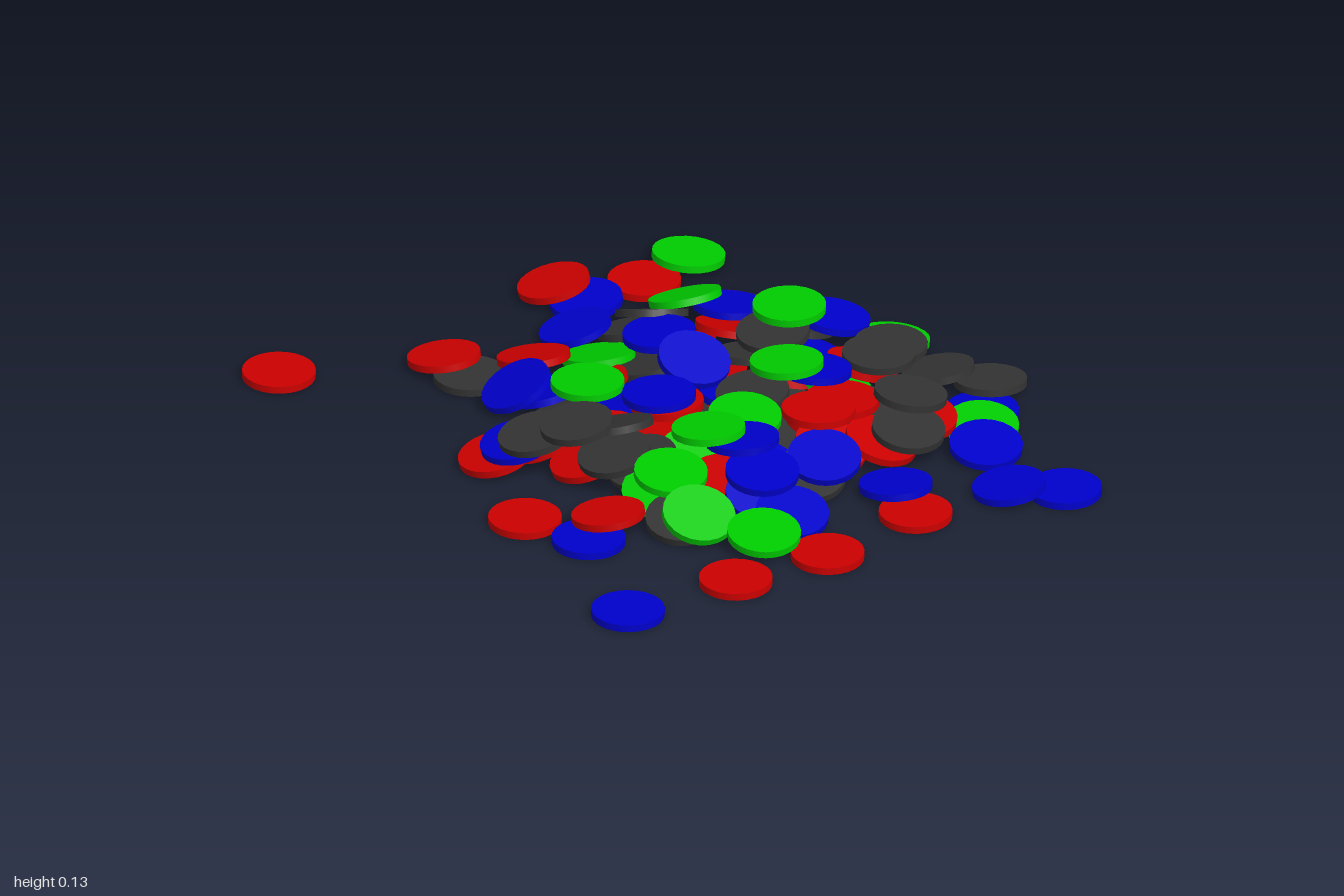
import * as THREE from 'three';

const R = 0.083, T = 0.017, MAX_SLOPE = 0.6;
const COLORS = { red: 0xcc0000, blue: 0x0000cc, green: 0x00cc00, dark: 0x333333 };

// Chips dropped after the base: x, z pairs in hundredths, lowest layer first
const LAYERS = [
  {
    red: [-91, 12, -37, -63, -13, -59, -29, 27, -11, 48, 44, 52],
    blue: [29, 76, 6, 50, -44, -48, 4, -64, 58, -43, 91, -19, 43, 22],
    dark: [54, -55, -52, -6, 22, 35],
    green: [26, -62, 62, -35],
  },
  {
    red: [-60, -9, -53, -50, 50, -28, 33, -23, -2, -5, 7, 42, 57, 32, 66, 6],
    blue: [12, -60, -17, -31, 67, -27, 80, -13, 40, 0, 32, 15, 57, -2, -25, 24],
    dark: [42, -53, 29, -55, 5, -44, -25, -43, 51, -20, 13, -18, -21, 23, -2, 21],
    green: [-22, -5, 17, -6],
  },
  {
    red: [32, -13, -41, -16],
    blue: [-39, -33, -11, -54, -5, -24, -4, -5, 22, -31, 23, 7, -37, 0],
    green: [17, -27, -20, -50, 5, -52, 15, 8, 14, 25, 26, 35, 42, 34, -33, -77],
    dark: [30, -47, 46, -31, -6, 12, -12, 20],
  },
];

// Sample points over a chip's underside
const SAMPLES = [[0, 0]];
for (const [r, n] of [[0.35, 8], [0.7, 16], [1, 28]]) {
  for (let i = 0; i < n; i++) {
    const a = (i / n) * Math.PI * 2;
    SAMPLES.push([Math.cos(a) * r * R, Math.sin(a) * r * R]);
  }
}

// Height of the pile at a point: the highest chip top found there
function pileHeight(chips, x, z) {
  let h = 0;
  for (const c of chips) {
    const dx = x - c.x, dz = z - c.z;
    if (dx * dx + dz * dz <= R * R) h = Math.max(h, c.y + T + c.a * dx + c.b * dz);
  }
  return h;
}

// Find the tilt that lets a chip rest with its centre as low as possible
function settle(chips, x, z) {
  const pts = SAMPLES.map(([dx, dz]) => [dx, dz, pileHeight(chips, x + dx, z + dz)]);
  const rest = (a, b) => {
    let y = 0;
    for (const [dx, dz, h] of pts) y = Math.max(y, h - a * dx - b * dz);
    return y;
  };
  const cost = (a, b) => (Math.hypot(a, b) > MAX_SLOPE ? 1 : rest(a, b) + 0.002 * Math.hypot(a, b));
  let a = 0, b = 0, best = cost(0, 0);
  for (let step = 0.2; step > 0.003; ) {
    let moved = false;
    for (let i = 0; i < 16; i++) {
      const t = (i / 16) * Math.PI * 2;
      const na = a + Math.cos(t) * step, nb = b + Math.sin(t) * step;
      const c = cost(na, nb);
      if (c < best - 1e-6) {
        [a, b, best, moved] = [na, nb, c, true];
        break;
      }
    }
    if (!moved) step /= 2;
  }
  return { x, z, a, b, y: rest(a, b) };
}

export function createModel() {
  const model = new THREE.Group();
  model.name = 'chipPile';

  // One disc shape, with its underside at the origin
  const disc = new THREE.CylinderGeometry(R, R, T, 24);
  disc.translate(0, T / 2, 0);

  const groups = {}, materials = {};
  for (const name in COLORS) {
    groups[name] = new THREE.Group();
    groups[name].name = name + 'Chips';
    materials[name] = new THREE.MeshStandardMaterial({ color: COLORS[name] });
    model.add(groups[name]);
  }

  // Each dropped chip rests on those already lying there
  const chips = [];
  const up = new THREE.Vector3(0, 1, 0);
  const drop = (name, x, z) => {
    const c = settle(chips, x, z);
    chips.push(c);
    const chip = new THREE.Mesh(disc, materials[name]);
    chip.name = name + 'Chip';
    chip.position.set(c.x, c.y, c.z);
    chip.quaternion.setFromUnitVectors(up, new THREE.Vector3(-c.a, 1, -c.b).normalize());
    groups[name].add(chip);
  };

  // Base of the pile: a sunflower spread of mixed colours
  const mix = ['red', 'dark', 'blue', 'red', 'green', 'dark', 'red'];
  const count = 38;
  for (let i = 0; i < count; i++) {
    const r = 0.43 * Math.sqrt((i + 0.5) / count), t = i * 2.39996;
    drop(mix[i % mix.length], 0.05 + r * Math.cos(t), -0.13 + r * Math.sin(t));
  }

  // Scattered rim and upper layers
  for (const layer of LAYERS) {
    for (const name in layer) {
      const xz = layer[name];
      for (let i = 0; i < xz.length; i += 2) drop(name, xz[i] / 100, xz[i + 1] / 100);
    }
  }
  return model;
}
